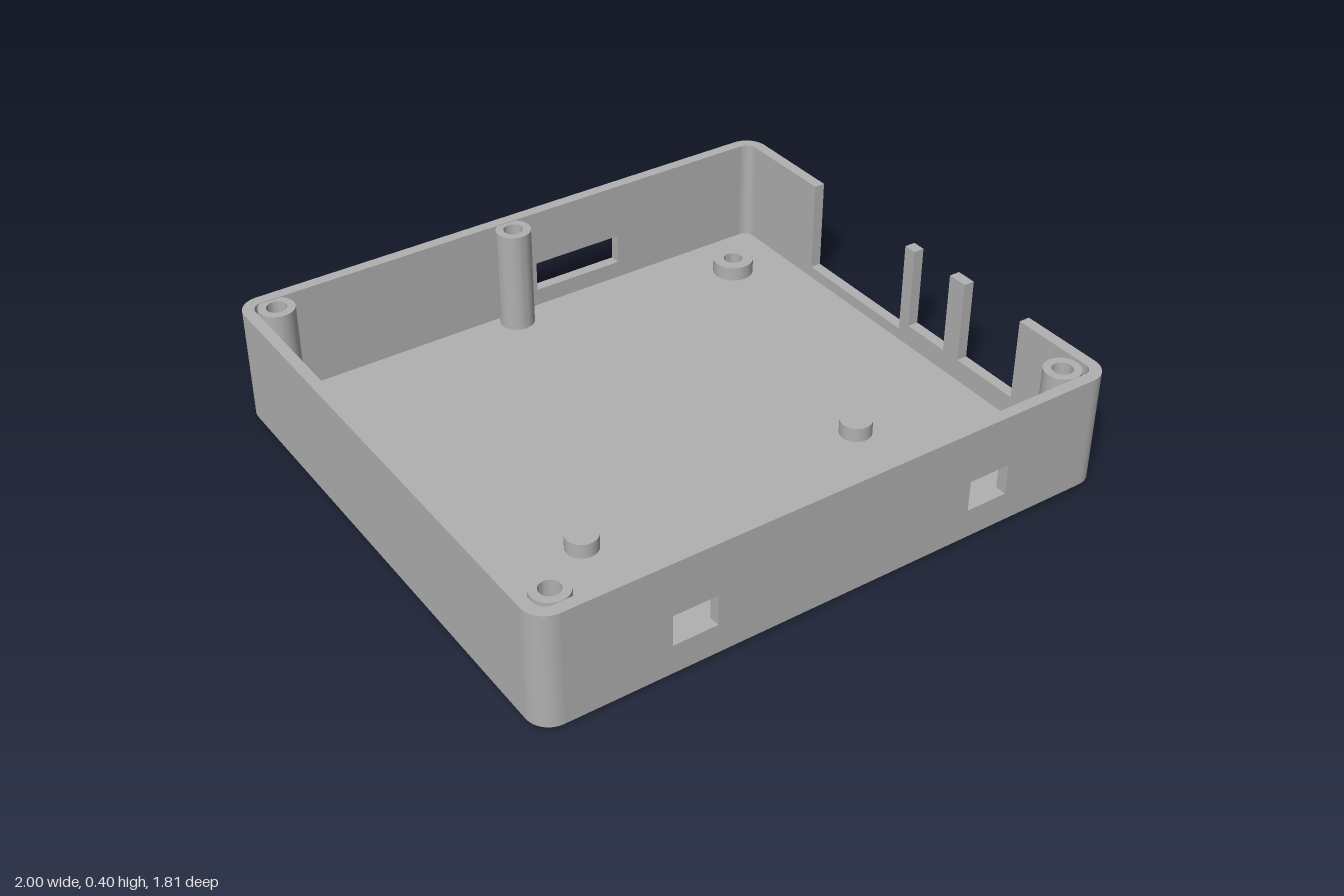
import * as THREE from 'three';
import { toCreasedNormals } from 'three/addons/utils/BufferGeometryUtils.js';

const HX = 1, HZ = 0.905, H = 0.4;          // half width, half depth, height
const WALL = 0.038, FLOOR = 0.04, R = 0.075, CH = 0.015;
const HOLE = 0.033, NUT = 0.048, NUT_TOP = 0.08, SINK = 0.055;

const posts = [[-0.895, -0.82], [-0.04, -0.82], [-0.895, 0.805], [0.893, 0.805]];
const standoffs = [[-0.88, -0.675], [0.76, -0.675], [-0.88, 0.663], [0.76, 0.663]];
const pegs = [[-0.51, 0.335], [0.507, 0.335]];

const smooth = (g) => toCreasedNormals(g, 0.6);

// Rounded rectangle outline in plan, pulled in by a given inset
function plan(inset) {
  const s = new THREE.Shape(), r = R - inset, cx = HX - R, cz = HZ - R, q = Math.PI / 2;
  [[1, 1], [-1, 1], [-1, -1], [1, -1]].forEach(([sx, sz], i) =>
    s.absarc(cx * sx, cz * sz, r, i * q, (i + 1) * q, false));
  s.closePath();
  return s;
}

// Regular polygon or circle as a path; plan y is -z
function ring(x, z, r, sides, Kind = THREE.Path) {
  const pts = [];
  for (let i = 0; i < sides; i++) {
    const a = (i / sides) * Math.PI * 2;
    pts.push(new THREE.Vector2(x + r * Math.cos(a), -z + r * Math.sin(a)));
  }
  return new Kind(pts);
}

// Extrude a plan shape upwards from y0 to y1
function rise(shape, y0, y1) {
  const g = new THREE.ExtrudeGeometry(shape, { depth: y1 - y0, bevelEnabled: false, curveSegments: 10 });
  g.rotateX(-Math.PI / 2).translate(0, y0, 0);
  return smooth(g);
}

// Upright wall panel with rectangular windows [u0, u1, y0, y1] and open notches [u0, u1, y0]
function panel(half, windows = [], notches = []) {
  const s = new THREE.Shape();
  s.moveTo(-half, CH);
  s.lineTo(half, CH);
  s.lineTo(half, H);
  for (const [u0, u1, y0] of notches) {      // listed from high u to low u
    s.lineTo(u1, H);
    s.lineTo(u1, y0);
    s.lineTo(u0, y0);
    s.lineTo(u0, H);
  }
  s.lineTo(-half, H);
  s.closePath();
  for (const [u0, u1, y0, y1] of windows) {
    s.holes.push(new THREE.Path([[u0, y0], [u0, y1], [u1, y1], [u1, y0]].map((p) => new THREE.Vector2(...p))));
  }
  return new THREE.ExtrudeGeometry(s, { depth: WALL, bevelEnabled: false });
}

// Sloped band joining the underside to the walls
function chamferBand() {
  const a = plan(CH).getPoints(10), b = plan(0).getPoints(10), pos = [], idx = [];
  a.forEach((p, i) => pos.push(p.x, 0, -p.y, b[i].x, CH, -b[i].y));
  const n = a.length;
  for (let i = 0; i < n; i++) {
    const j = (i + 1) % n;
    idx.push(2 * i, 2 * j, 2 * j + 1, 2 * i, 2 * j + 1, 2 * i + 1);
  }
  const g = new THREE.BufferGeometry();
  g.setAttribute('position', new THREE.Float32BufferAttribute(pos, 3));
  g.setIndex(idx);
  g.computeVertexNormals();
  return smooth(g);
}

export function createModel() {
  const model = new THREE.Group();
  model.name = 'enclosureBase';
  const plastic = new THREE.MeshStandardMaterial({ color: 0xb0b0b0 });
  plastic.name = 'grey plastic';
  const add = (name, geometry, x = 0, y = 0, z = 0) => {
    const m = new THREE.Mesh(geometry, plastic);
    m.name = name;
    m.position.set(x, y, z);
    model.add(m);
    return m;
  };

  // Floor with hexagonal nut pockets and countersunk screw holes
  const floor = plan(CH);
  posts.forEach(([x, z]) => floor.holes.push(ring(x, z, NUT, 6)));
  standoffs.forEach(([x, z]) => floor.holes.push(ring(x, z, SINK, 32)));
  add('floor', rise(floor, 0, FLOOR));
  add('bottomChamfer', chamferBand());

  // Walls
  const wx = HX - R, wz = HZ - R;
  add('frontWall', panel(wx, [[-0.58, -0.43, 0.115, 0.22], [0.465, 0.61, 0.115, 0.22]]), 0, 0, HZ - WALL);
  add('backWall', panel(wx, [[0.07, 0.4, 0.1, 0.205]]), 0, 0, -HZ);
  add('plainSideWall', panel(wz).rotateY(Math.PI / 2), -HX);
  const ports = [[0.005, 0.485, 0.08], [-0.216, -0.041, 0.115], [-0.542, -0.287, 0.115]];
  add('portSideWall', panel(wz, [], ports).rotateY(Math.PI / 2), HX - WALL);

  // Rounded wall corners
  [[1, 1], [-1, 1], [-1, -1], [1, -1]].forEach(([sx, sz], i) => {
    const a = (i * Math.PI) / 2, s = new THREE.Shape();
    s.absarc(wx * sx, wz * sz, R, a, a + Math.PI / 2, false);
    s.absarc(wx * sx, wz * sz, R - WALL, a + Math.PI / 2, a, true);
    s.closePath();
    add('wallCorner', rise(s, CH, H));
  });

  // Tall screw posts, hexagonal at the foot and round above
  for (const [x, z] of posts) {
    const foot = ring(x, z, 0.059, 40, THREE.Shape);
    foot.holes.push(ring(x, z, NUT, 6));
    add('screwPostFoot', rise(foot, FLOOR, NUT_TOP));
    const shaft = ring(x, z, 0.059, 40, THREE.Shape);
    shaft.holes.push(ring(x, z, HOLE, 32));
    add('screwPost', rise(shaft, NUT_TOP, H - 0.002));
  }

  // Short board standoffs with countersunk bores
  const profile = [[0.07, FLOOR], [0.07, 0.09], [HOLE, 0.09], [HOLE, 0.025], [SINK, 0]];
  const standoff = smooth(new THREE.LatheGeometry(profile.map((p) => new THREE.Vector2(...p)), 32));
  standoffs.forEach(([x, z]) => add('standoff', standoff, x, 0, z));

  // Solid support pegs
  const peg = new THREE.CylinderGeometry(0.053, 0.053, 0.05, 32);
  pegs.forEach(([x, z]) => add('supportPeg', peg, x, FLOOR + 0.025, z));

  return model;
}
